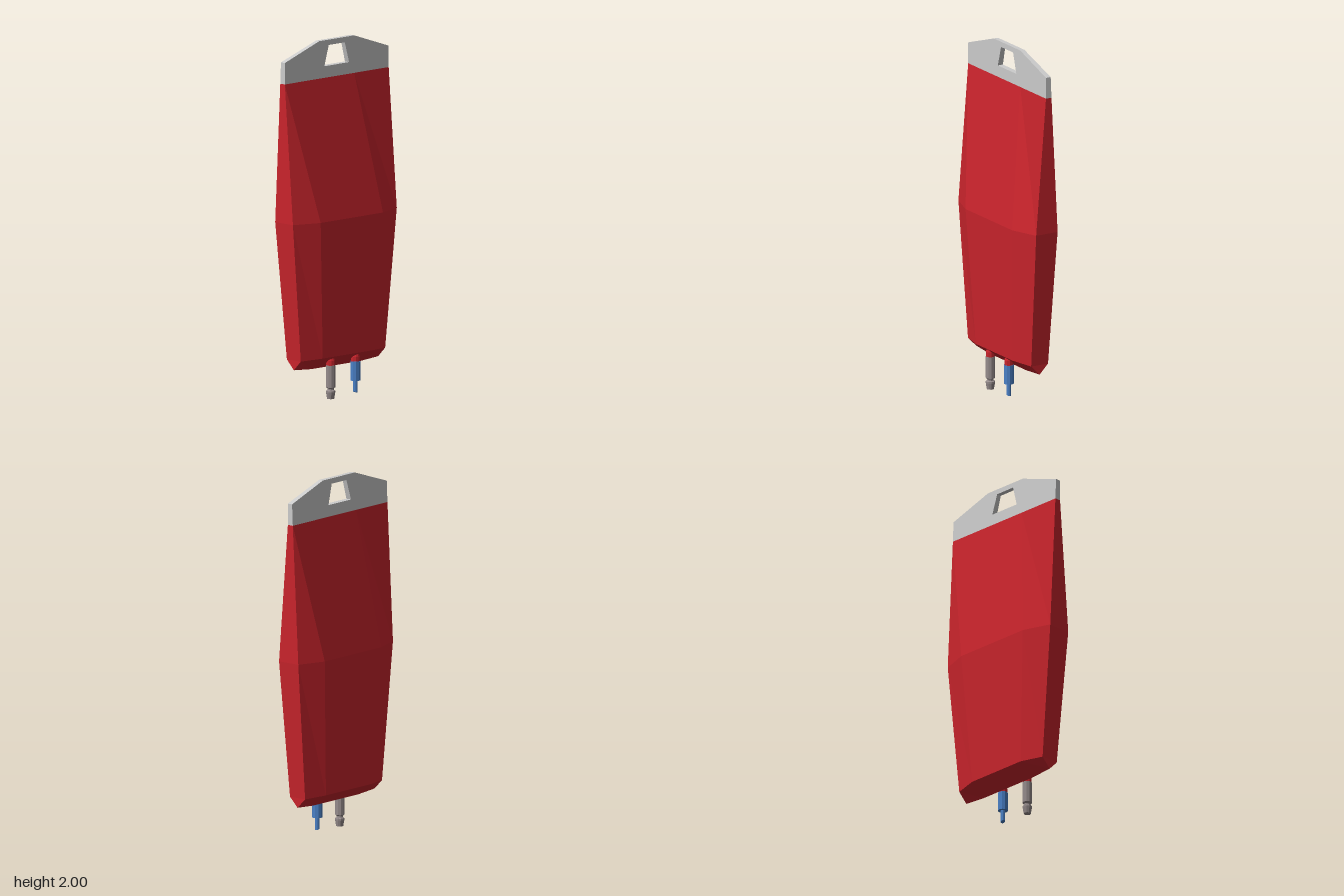
import * as THREE from 'three';

const mat = (color) => new THREE.MeshStandardMaterial({ color, flatShading: true });
const red = mat(0xc9242c), grey = mat(0xcccccc), steel = mat(0x958b8b), blue = mat(0x4a80c6);

function add(parent, name, geometry, material) {
  const mesh = new THREE.Mesh(geometry, material);
  mesh.name = name;
  parent.add(mesh);
  return mesh;
}

// Faceted pouch lofted through eight-cornered rings, from the bottom seam to the top seam.
function pouchGeometry() {
  // [outer x, outer y, inner x, inner y, outer half depth, inner half depth, z centre]
  const sections = [
    [0.325, 0.18, 0.19, 0.17, 0, 0, 0],
    [0.325, 0.235, 0.19, 0.24, 0.055, 0.09, 0],
    [0.4, 1.01, 0.24, 1.01, 0.07, 0.125, 0],
    [0.4, 1.79, 0.135, 1.79, 0.018, 0.018, -0.012],
  ];
  const rings = sections.map(([xo, yo, xi, yi, zo, zi, c]) => [
    [xo, yo, c + zo], [xi, yi, c + zi], [-xi, yi, c + zi], [-xo, yo, c + zo],
    [-xo, yo, c - zo], [-xi, yi, c - zi], [xi, yi, c - zi], [xo, yo, c - zo],
  ]);
  const pos = [];
  for (let r = 0; r < rings.length - 1; r++) {
    for (let i = 0; i < 8; i++) {
      const j = (i + 1) % 8;
      const a = rings[r][i], b = rings[r][j], c = rings[r + 1][j], d = rings[r + 1][i];
      pos.push(...a, ...c, ...b, ...a, ...d, ...c);
    }
  }
  // Lid under the hanger
  const top = rings[rings.length - 1];
  for (let i = 1; i < 7; i++) pos.push(...top[0], ...top[i + 1], ...top[i]);
  const g = new THREE.BufferGeometry();
  g.setAttribute('position', new THREE.Float32BufferAttribute(pos, 3));
  g.computeVertexNormals();
  return g;
}

// Flat tab with a trapezoid slot, thinning towards its top edge.
function hangerGeometry() {
  const pts = (list) => list.map(([x, y]) => new THREE.Vector2(x, y));
  const shape = new THREE.Shape(pts([
    [-0.4, 1.79], [0.4, 1.79], [0.4, 1.91], [0.135, 2], [-0.135, 2], [-0.4, 1.91],
  ]));
  shape.holes.push(new THREE.Path(pts([
    [-0.095, 1.855], [-0.062, 1.97], [0.062, 1.97], [0.095, 1.855],
  ])));
  const g = new THREE.ExtrudeGeometry(shape, { depth: 1, bevelEnabled: false });
  const p = g.attributes.position;
  for (let i = 0; i < p.count; i++) {
    const t = (p.getY(i) - 1.79) / 0.21;
    p.setZ(i, p.getZ(i) > 0.5 ? 0.006 : -0.03 + 0.009 * t);
  }
  g.computeVertexNormals();
  return g;
}

const lathe = (profile) =>
  new THREE.LatheGeometry(profile.map(([r, y]) => new THREE.Vector2(r, y)), 10);

export function createModel() {
  const model = new THREE.Group();
  model.name = 'fluidBag';

  add(model, 'pouch', pouchGeometry(), red);
  add(model, 'hanger', hangerGeometry(), grey);

  // Two ports below the front of the bottom edge, each with a red collar
  const ports = [-0.095, 0.095].map((x, i) => {
    const port = new THREE.Group();
    port.name = i ? 'bluePort' : 'steelPort';
    port.position.set(x, 0, 0.055);
    add(port, 'collar', lathe([[0, 0.185], [0.025, 0.185], [0.025, 0.215], [0.018, 0.235], [0, 0.235]]), red);
    model.add(port);
    return port;
  });

  // Barbed nozzle
  add(ports[0], 'nozzle', lathe([
    [0, 0], [0.02, 0], [0.026, 0.035], [0.026, 0.045], [0.018, 0.05],
    [0.018, 0.058], [0.027, 0.065], [0.027, 0.188], [0, 0.188],
  ]), steel);

  // Sleeve with a narrow tip cut at a slant
  add(ports[1], 'sleeve', lathe([[0, 0.08], [0.028, 0.08], [0.028, 0.188], [0, 0.188]]), blue);
  const tip = new THREE.CylinderGeometry(0.013, 0.013, 0.075, 8).translate(0, 0.0475, 0);
  const p = tip.attributes.position;
  for (let i = 0; i < p.count; i++) {
    if (p.getY(i) < 0.04) p.setY(i, 0.014 - p.getX(i) * 0.4);
  }
  tip.computeVertexNormals();
  add(ports[1], 'tip', tip, blue);

  return model;
}
